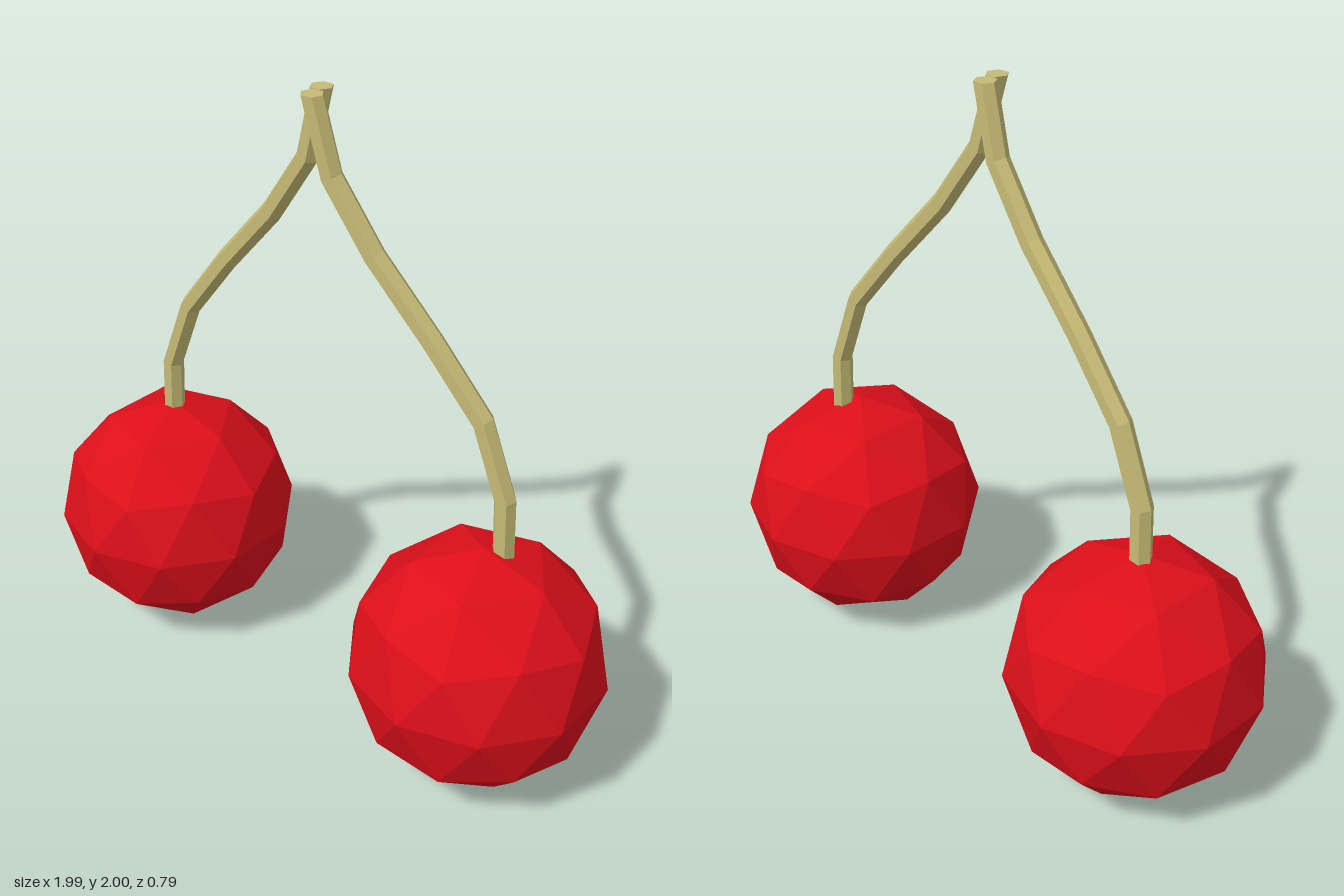
import * as THREE from 'three';

const SIDES = 6, STEM_R = 0.034, CHERRY_R = 0.393;

// Six-sided tube swept along joints, cut level at both ends
function stemGeometry(points) {
  const path = points.map((p) => new THREE.Vector3(...p));
  const last = path.length - 1;
  const up = new THREE.Vector3(0, 1, 0);
  // horizontal direction across the plane the stem bends in
  const run = path[last].clone().sub(path[0]).setY(0).normalize();
  const across = run.clone().cross(up).normalize();
  const positions = [], index = [];
  path.forEach((p, i) => {
    const t = up.clone();
    if (i > 0 && i < last) {
      const a = p.clone().sub(path[i - 1]).normalize();
      const b = path[i + 1].clone().sub(p).normalize();
      t.copy(a).add(b).normalize();
    }
    const u = across.clone().cross(t).normalize();
    const v = t.clone().cross(u);
    for (let j = 0; j < SIDES; j++) {
      const a = (j / SIDES) * Math.PI * 2;
      const q = p.clone()
        .addScaledVector(u, Math.cos(a) * STEM_R)
        .addScaledVector(v, Math.sin(a) * STEM_R);
      positions.push(q.x, q.y, q.z);
    }
  });
  for (let i = 0; i < last; i++) {
    for (let j = 0; j < SIDES; j++) {
      const a = i * SIDES + j, b = i * SIDES + ((j + 1) % SIDES);
      index.push(a, b, b + SIDES, a, b + SIDES, a + SIDES);
    }
  }
  // end caps
  const top = last * SIDES;
  for (let j = 1; j < SIDES - 1; j++) {
    index.push(0, j + 1, j, top, top + j, top + j + 1);
  }
  const geometry = new THREE.BufferGeometry();
  geometry.setAttribute('position', new THREE.Float32BufferAttribute(positions, 3));
  geometry.setIndex(index);
  geometry.computeVertexNormals();
  return geometry;
}

export function createModel() {
  const model = new THREE.Group();
  const red = new THREE.MeshStandardMaterial({ color: 0xdc0f1a, flatShading: true });
  const tan = new THREE.MeshStandardMaterial({ color: 0xc6ba75, flatShading: true });

  // Faceted fruit, turned so that one corner points straight up
  const fruit = new THREE.IcosahedronGeometry(CHERRY_R, 1);
  fruit.rotateZ(Math.atan2(1 + Math.sqrt(5), 2) - Math.PI / 2);

  const addPart = (name, geometry, material) => {
    const mesh = new THREE.Mesh(geometry, material);
    mesh.name = name;
    model.add(mesh);
    return mesh;
  };

  addPart('rightCherry', fruit, red).position.set(-0.622, CHERRY_R, 0);
  addPart('leftCherry', fruit, red).position.set(0.622, CHERRY_R, 0);

  // Stems, from the fruit up to where they meet
  addPart('rightStem', stemGeometry([
    [-0.625, 0.72, -0.005], [-0.617, 0.94, -0.005], [-0.525, 1.17, -0.005],
    [-0.36, 1.38, -0.005], [-0.175, 1.59, -0.005], [-0.04, 1.79, -0.005],
    [0.01, 2, -0.005],
  ]), tan);
  addPart('leftStem', stemGeometry([
    [0.66, 0.72, -0.043], [0.652, 0.94, -0.042], [0.57, 1.17, -0.03],
    [0.41, 1.37, -0.004], [0.225, 1.58, 0.025], [0.09, 1.78, 0.047],
    [0.03, 2, 0.058],
  ]), tan);

  return model;
}
